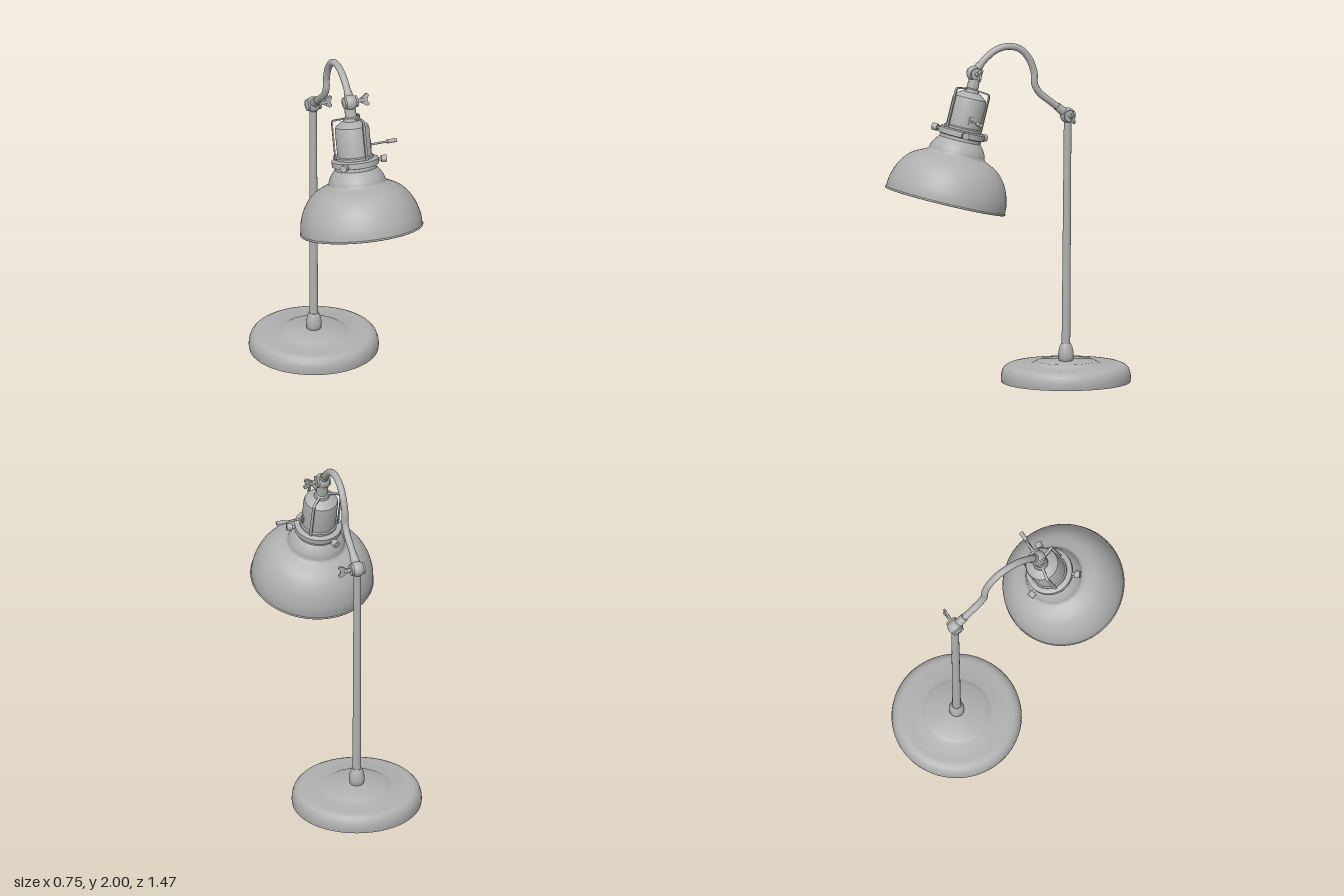
import * as THREE from 'three';
import { toCreasedNormals } from 'three/addons/utils/BufferGeometryUtils.js';

const metal = new THREE.MeshStandardMaterial({ color: 0xb0b0b0 });
metal.name = 'greyMetal';

const V = (x, y, z) => new THREE.Vector3(x, y, z);

function add(parent, name, geometry) {
  const mesh = new THREE.Mesh(geometry, metal);
  mesh.name = name;
  parent.add(mesh);
  return mesh;
}

// Turned part from [radius, height] pairs, listed bottom to top on the outside
function turned(parent, name, profile, segments = 48) {
  const points = profile.map(([r, y]) => new THREE.Vector2(r, y));
  return add(parent, name, toCreasedNormals(new THREE.LatheGeometry(points, segments), 0.6));
}

// Straight round bar between two points
function rod(parent, name, a, b, ra, rb = ra) {
  const dir = b.clone().sub(a);
  const mesh = add(parent, name, new THREE.CylinderGeometry(rb, ra, dir.length(), 24));
  mesh.position.copy(a).lerp(b, 0.5);
  mesh.quaternion.setFromUnitVectors(V(0, 1, 0), dir.normalize());
  return mesh;
}

// Ball joint with washers and a wing screw on the left side
function joint(name, position, tilt) {
  const g = new THREE.Group();
  g.name = name;
  g.position.copy(position);
  g.rotation.x = tilt;
  add(g, 'jointBall', new THREE.SphereGeometry(0.045, 32, 20));
  rod(g, 'jointWashers', V(-0.04, 0, 0), V(0.042, 0, 0), 0.034);
  rod(g, 'screwStem', V(0.03, 0, 0), V(0.085, 0, 0), 0.011);
  const wing = new THREE.Shape();
  wing.moveTo(0.06, -0.01);
  wing.lineTo(0.1, -0.036);
  wing.quadraticCurveTo(0.118, -0.036, 0.116, -0.02);
  wing.quadraticCurveTo(0.094, 0, 0.116, 0.02);
  wing.quadraticCurveTo(0.118, 0.036, 0.1, 0.036);
  wing.lineTo(0.06, 0.01);
  const geo = new THREE.ExtrudeGeometry(wing, { depth: 0.012, bevelEnabled: false });
  add(g, 'screwWing', geo.translate(0, 0, -0.006));
  return g;
}

function createHead() {
  const head = new THREE.Group();
  head.name = 'lampHead';

  // Bell shade: domed bowl, step, then upper dome, with a thin wall
  const bowl = new THREE.SplineCurve([
    [0.354, 0.005], [0.349, 0.07], [0.318, 0.157], [0.26, 0.23], [0.172, 0.278],
  ].map(([x, y]) => new THREE.Vector2(x, y))).getPoints(20).map(p => [p.x, p.y]);
  const dome = new THREE.SplineCurve([
    [0.166, 0.287], [0.16, 0.31], [0.142, 0.342], [0.118, 0.37],
  ].map(([x, y]) => new THREE.Vector2(x, y))).getPoints(10).map(p => [p.x, p.y]);
  const outer = [...bowl, ...dome];
  const inner = outer.map(([x, y]) => [x - 0.008, y - 0.005]).reverse();
  turned(head, 'shade', [...outer, [0, 0.372], [0, 0.365], ...inner, outer[0]], 72);
  const rim = add(head, 'shadeRim', new THREE.TorusGeometry(0.353, 0.006, 10, 72));
  rim.rotation.x = Math.PI / 2;
  rim.position.y = 0.004;

  // Shade holder ring
  turned(head, 'holderRing', [
    [0, 0.362], [0.122, 0.362], [0.122, 0.384], [0.137, 0.388], [0.137, 0.42],
    [0.125, 0.427], [0.1, 0.427], [0, 0.427],
  ]);

  // Socket with bevelled cap and neck
  turned(head, 'socket', [
    [0, 0.42], [0.108, 0.42], [0.108, 0.44], [0.1, 0.446], [0.1, 0.6], [0.095, 0.618],
    [0.06, 0.645], [0.045, 0.65], [0.042, 0.668], [0.034, 0.674], [0.032, 0.74], [0, 0.74],
  ]);

  // Thumb screws round the ring
  for (let i = 0; i < 3; i++) {
    const g = new THREE.Group();
    g.name = 'thumbScrew';
    g.position.y = 0.404;
    g.rotation.y = -THREE.MathUtils.degToRad(13 + 120 * i);
    rod(g, 'thumbScrewStem', V(0.13, 0, 0), V(0.155, 0, 0), 0.01);
    rod(g, 'thumbScrewHead', V(0.152, 0, 0), V(0.184, 0, 0), 0.021);
    head.add(g);
  }

  // Bent guard strips from the ring to the neck
  const strip = new THREE.Shape();
  strip.moveTo(0.11, 0.42);
  strip.lineTo(0.118, 0.42);
  strip.lineTo(0.118, 0.645);
  strip.quadraticCurveTo(0.118, 0.664, 0.1, 0.666);
  strip.lineTo(0.036, 0.67);
  strip.lineTo(0.036, 0.662);
  strip.lineTo(0.098, 0.658);
  strip.quadraticCurveTo(0.11, 0.656, 0.11, 0.642);
  strip.closePath();
  const stripGeo = new THREE.ExtrudeGeometry(strip, { depth: 0.016, bevelEnabled: false })
    .translate(0, 0, -0.008);
  for (let i = 0; i < 3; i++) {
    add(head, 'guardStrip', stripGeo).rotation.y = -THREE.MathUtils.degToRad(73 + 120 * i);
  }

  // Switch key on the left side
  const plate = add(head, 'switchPlate', new THREE.BoxGeometry(0.008, 0.05, 0.026));
  plate.position.set(0.1, 0.49, 0);
  rod(head, 'switchRod', V(0.08, 0.49, 0), V(0.215, 0.49, 0), 0.006);
  rod(head, 'switchKnob', V(0.207, 0.49, 0), V(0.264, 0.49, 0), 0.012);
  return head;
}

export function createModel() {
  const model = new THREE.Group();
  model.name = 'deskLamp';
  const poleFoot = V(0, 0.2, -0.36);
  const poleTop = V(0, 1.557, -0.371);
  const armEnd = V(0, 1.833, 0.207);

  // Round base with raised centre, and the ferrule holding the pole
  const base = turned(model, 'base', [
    [0, 0], [0.374, 0], [0.377, 0.02], [0.374, 0.05], [0.366, 0.074], [0.352, 0.091],
    [0.333, 0.1], [0.31, 0.103], [0.205, 0.103], [0.19, 0.11], [0.17, 0.122], [0, 0.122],
  ], 72);
  base.position.z = -0.36;
  const ferrule = turned(model, 'ferrule', [
    [0.036, 0.118], [0.043, 0.13], [0.045, 0.15], [0.044, 0.172], [0.038, 0.2],
    [0.031, 0.216], [0.028, 0.222], [0, 0.222],
  ], 32);
  ferrule.position.z = -0.36;
  rod(model, 'pole', poleFoot, poleTop, 0.025, 0.022);
  model.add(joint('lowerJoint', poleTop, 0));

  // Swan-neck arm
  const path = new THREE.CatmullRomCurve3([
    [1.557, -0.371], [1.588, -0.335], [1.645, -0.262], [1.697, -0.198], [1.75, -0.167],
    [1.82, -0.163], [1.905, -0.13], [1.962, -0.074], [1.98, 0], [1.962, 0.074],
    [1.917, 0.136], [1.87, 0.179], [1.833, 0.207],
  ].map(([y, z]) => V(0, y, z)));
  add(model, 'arm', new THREE.TubeGeometry(path, 90, 0.02, 20));
  rod(model, 'lowerArmCollar', V(0, 1.575, -0.35), V(0, 1.613, -0.305), 0.027, 0.024);
  rod(model, 'upperArmCollar', armEnd, V(0, 1.884, 0.169), 0.027, 0.024);

  // Tilted head hanging from the upper joint
  const tilt = -0.2525;
  model.add(joint('upperJoint', armEnd, tilt));
  const head = createHead();
  head.position.set(0, 1.094, 0.387);
  head.rotation.x = tilt;
  model.add(head);
  return model;
}
